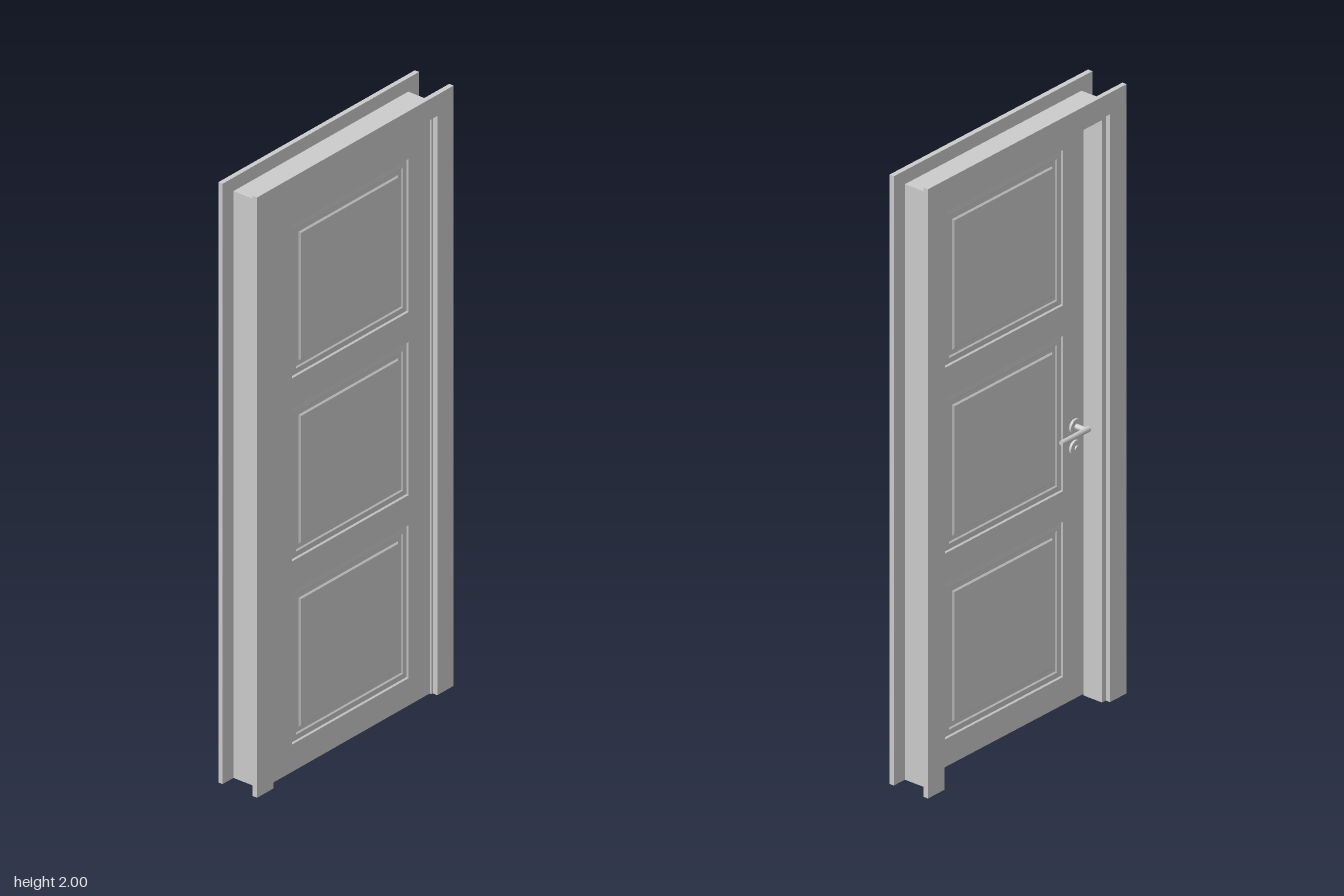
import * as THREE from 'three';

const material = new THREE.MeshStandardMaterial({ color: 0xcccccc });

function add(parent, name, geometry, x = 0, y = 0, z = 0) {
  const mesh = new THREE.Mesh(geometry, material);
  mesh.name = name;
  mesh.position.set(x, y, z);
  parent.add(mesh);
  return mesh;
}

function extrude(shape, z0, z1) {
  const g = new THREE.ExtrudeGeometry(shape, { depth: z1 - z0, bevelEnabled: false });
  return g.translate(0, 0, z0);
}

// Door surround: two uprights and a header, open at the floor
function archShape(outX, outY, inX, inY) {
  return new THREE.Shape([
    [-outX, 0], [-inX, 0], [-inX, inY], [inX, inY],
    [inX, 0], [outX, 0], [outX, outY], [-outX, outY],
  ].map(([x, y]) => new THREE.Vector2(x, y)));
}

function rect(x, y, w, h) {
  return [[x - w, y - h], [x + w, y - h], [x + w, y + h], [x - w, y + h]];
}

// Moulded panel facing +z, from nested rectangles [inset, depth]
function panelGeometry(w, h, steps) {
  const pos = [];
  const loops = steps.map(([inset, z]) =>
    rect(0, 0, w - inset, h - inset).map(([x, y]) => [x, y, z]));
  const quad = (a, b, c, d) => pos.push(...a, ...b, ...c, ...a, ...c, ...d);
  for (let k = 0; k + 1 < loops.length; k++) {
    for (let i = 0; i < 4; i++) {
      const j = (i + 1) % 4;
      quad(loops[k][i], loops[k][j], loops[k + 1][j], loops[k + 1][i]);
    }
  }
  quad(...loops[loops.length - 1]);
  const g = new THREE.BufferGeometry();
  g.setAttribute('position', new THREE.Float32BufferAttribute(pos, 3));
  g.computeVertexNormals();
  return g;
}

export function createModel() {
  const model = new THREE.Group();
  model.name = 'door';

  // Frame: casings on both wall faces and a rebated jamb between them
  const frame = new THREE.Group();
  frame.name = 'frame';
  model.add(frame);
  const casing = archShape(0.45, 2, 0.375, 1.93);
  add(frame, 'frontCasing', extrude(casing, 0.057, 0.074));
  add(frame, 'backCasing', extrude(casing, -0.074, -0.058));
  add(frame, 'jambStop', extrude(archShape(0.4, 1.955, 0.358, 1.912), -0.058, 0.014));
  add(frame, 'jambRebate', extrude(archShape(0.4, 1.955, 0.369, 1.924), 0.014, 0.057));

  // Leaf with three panel openings
  const zBack = 0.015, zFront = 0.055;
  const panelW = 0.267, panelH = 0.255;
  const panelYs = [0.35, 0.96, 1.57];
  const leaf = new THREE.Group();
  leaf.name = 'leaf';
  model.add(leaf);
  const toPoints = (r) => r.map(([x, y]) => new THREE.Vector2(x, y));
  const leafShape = new THREE.Shape(toPoints(rect(0, 0.962, 0.365, 0.958)));
  for (const y of panelYs) {
    leafShape.holes.push(new THREE.Path(toPoints(rect(0, y, panelW, panelH).reverse())));
  }
  add(leaf, 'leafFrame', extrude(leafShape, zBack, zFront));

  // Moulded panels on both faces
  const steps = [[0, 0], [0.003, -0.006], [0.022, -0.004], [0.026, -0.008],
    [0.04, -0.008], [0.045, -0.003]];
  const panel = panelGeometry(panelW, panelH, steps);
  for (const y of panelYs) {
    add(leaf, 'frontPanel', panel, 0, y, zFront);
    add(leaf, 'backPanel', panel, 0, y, zBack).rotation.y = Math.PI;
  }

  // Lever handle and keyhole on the back face
  const handle = new THREE.Group();
  handle.name = 'handle';
  handle.position.set(-0.318, 0.9, zBack);
  model.add(handle);
  const disc = (r, d) => new THREE.CylinderGeometry(r, r, d, 24).rotateX(Math.PI / 2);
  add(handle, 'rosette', disc(0.024, 0.008), 0, 0, -0.004);
  add(handle, 'keyRosette', disc(0.024, 0.008), 0, -0.07, -0.004);
  add(handle, 'keyCylinder', disc(0.008, 0.006), 0, -0.07, -0.01);
  add(handle, 'neck', disc(0.009, 0.04), 0, 0, -0.026);
  const lever = new THREE.CylinderGeometry(0.008, 0.009, 0.125, 16).rotateZ(-Math.PI / 2);
  add(handle, 'lever', lever, 0.05, 0, -0.045);

  return model;
}
